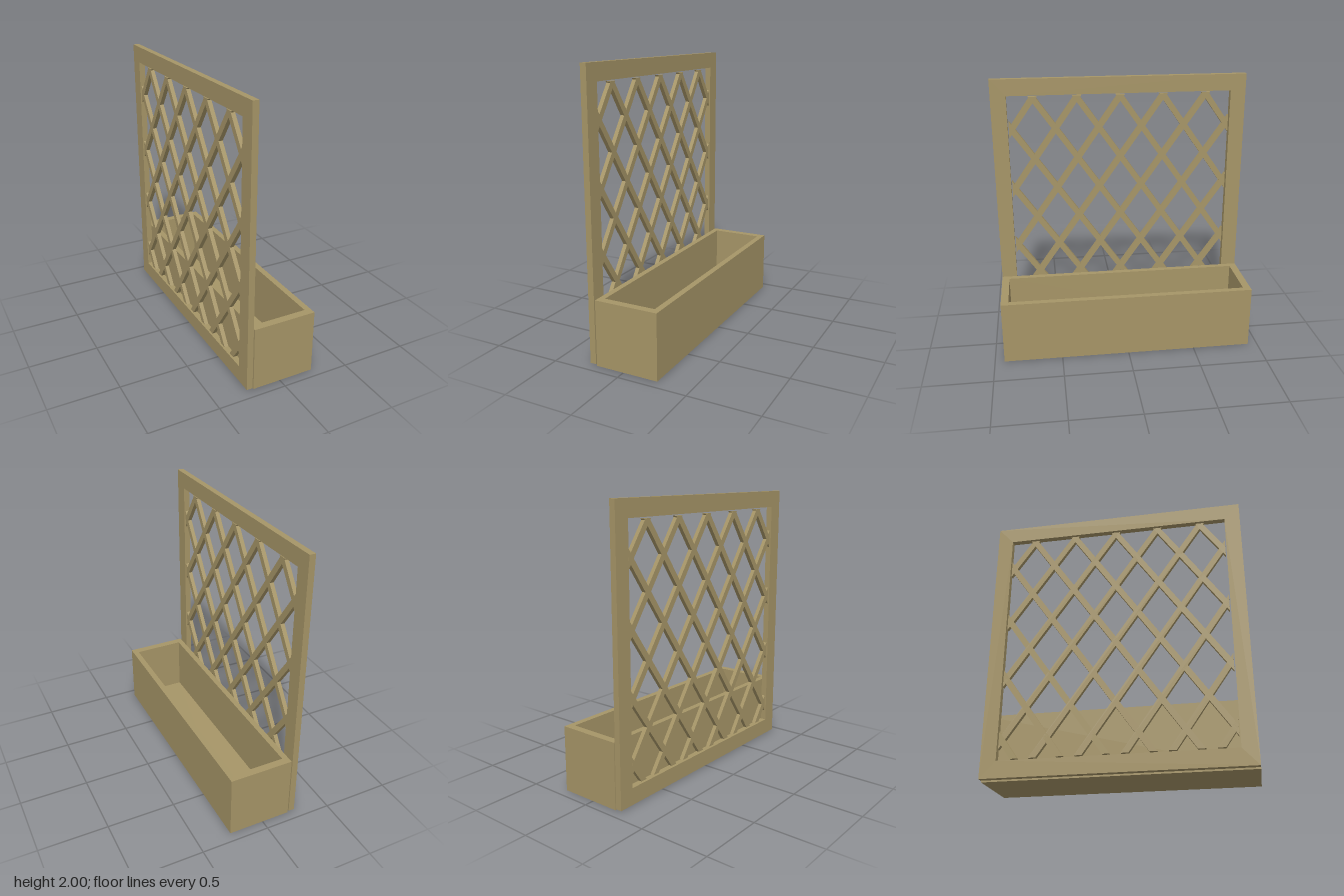
import * as THREE from 'three';

const wood = new THREE.MeshStandardMaterial({ color: 0xa69567 });
wood.name = 'paleWood';

// Outline with a rectangular opening, extruded
function ringGeometry(u0, u1, v0, v1, hu0, hu1, hv0, hv1, depth) {
  const rect = (P, a, b, c, d) => {
    const p = new P();
    p.moveTo(a, c); p.lineTo(b, c); p.lineTo(b, d); p.lineTo(a, d); p.closePath();
    return p;
  };
  const shape = rect(THREE.Shape, u0, u1, v0, v1);
  shape.holes.push(rect(THREE.Path, hu0, hu1, hv0, hv1));
  return new THREE.ExtrudeGeometry(shape, { depth, bevelEnabled: false });
}

// Keep the part of a polygon where side * (p[axis] - limit) <= 0
function clip(points, axis, limit, side) {
  const out = [];
  points.forEach((a, i) => {
    const b = points[(i + 1) % points.length];
    const da = side * (a[axis] - limit), db = side * (b[axis] - limit);
    if (da <= 0) out.push(a);
    if (da * db < 0) out.push(a.clone().lerp(b, da / (da - db)));
  });
  return out;
}

function add(parent, name, geometry) {
  const mesh = new THREE.Mesh(geometry, wood);
  mesh.name = name;
  parent.add(mesh);
  return mesh;
}

export function createModel() {
  const model = new THREE.Group();
  model.name = 'trellisPlanter';

  // Planter box: four walls around a floor
  const planter = new THREE.Group();
  planter.name = 'planter';
  model.add(planter);
  const walls = ringGeometry(-0.207, 0.257, -0.93, 0.93, -0.165, 0.213, -0.875, 0.875, 0.47);
  walls.rotateX(-Math.PI / 2);
  add(planter, 'planterWalls', walls);
  const floor = add(planter, 'planterFloor', new THREE.BoxGeometry(0.378, 0.045, 1.75));
  floor.position.set(0.024, 0.0225, 0);

  // Trellis frame, drawn in z/y and extruded along x
  const trellis = new THREE.Group();
  trellis.name = 'trellis';
  model.add(trellis);
  const frame = ringGeometry(-0.93, 0.93, 0.01, 2, -0.818, 0.818, 0.13, 1.88, 0.044);
  frame.rotateY(Math.PI / 2).translate(-0.259, 0, 0);
  add(trellis, 'trellisFrame', frame);

  // Diagonal slats in both directions, trimmed to the opening
  const pitch = 0.3165, slope = 1.43, top = 1.86, halfWidth = 0.026;
  for (const dir of [1, -1]) {
    for (let k = -7; k <= 7; k++) {
      const at = (y, w) => new THREE.Vector2(dir * (k * pitch + (y - top) / slope) + w, y);
      let points = [at(0, -halfWidth), at(0, halfWidth), at(2, halfWidth), at(2, -halfWidth)];
      points = clip(points, 'x', 0.81, 1);
      points = clip(points, 'x', -0.81, -1);
      points = clip(points, 'y', 1.87, 1);
      points = clip(points, 'y', 0.14, -1);
      if (points.length < 3) continue;
      const slat = new THREE.ExtrudeGeometry(new THREE.Shape(points), { depth: 0.03, bevelEnabled: false });
      slat.rotateY(Math.PI / 2).translate(-0.252, 0, 0);
      add(trellis, 'latticeSlat', slat);
    }
  }
  return model;
}
